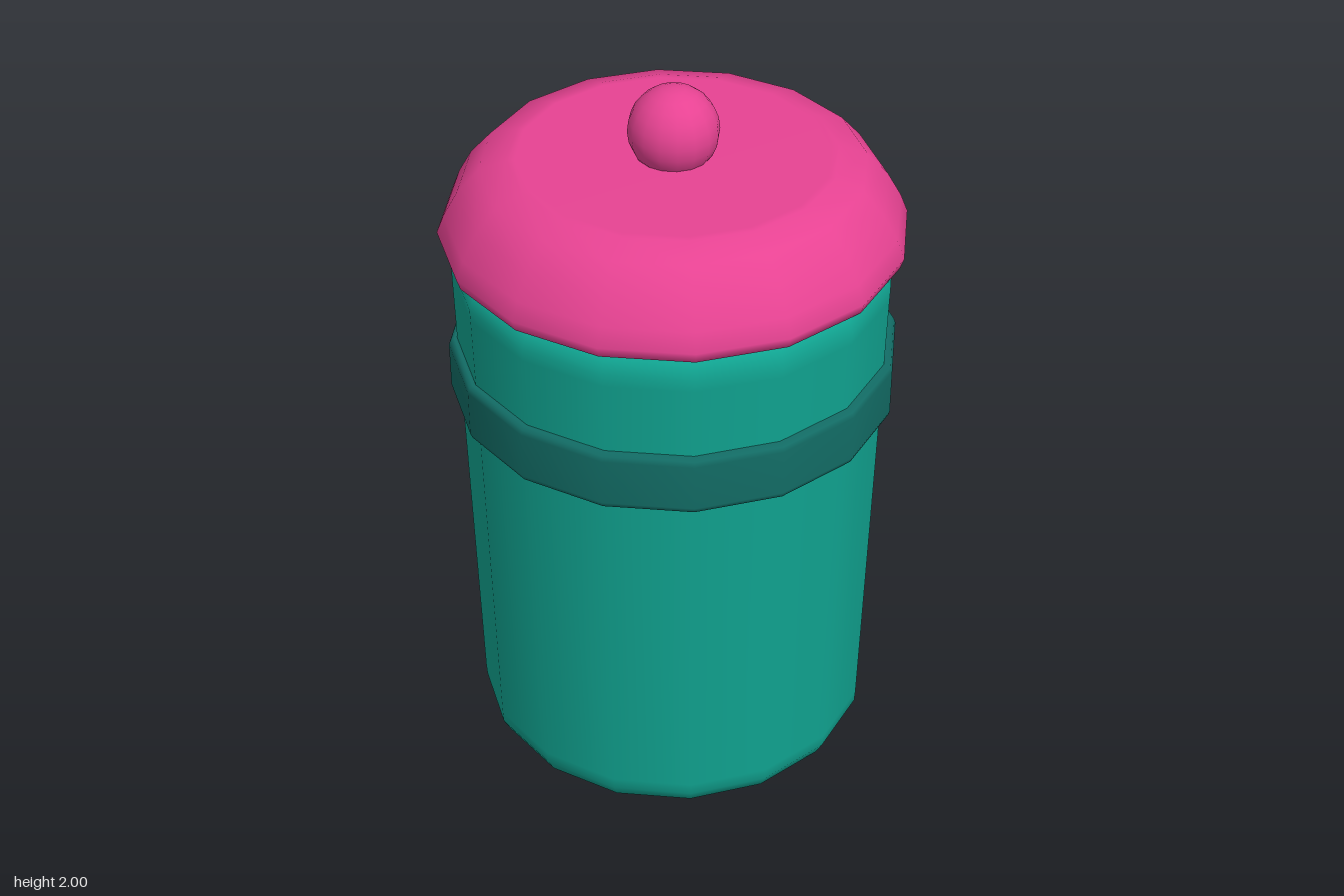
import * as THREE from 'three';

const SIDES = 16;

function material(name, color) {
  const m = new THREE.MeshStandardMaterial({ color });
  m.name = name;
  return m;
}

// Turned part: profile of [radius, y] from bottom to top, outside facing out
function turned(name, profile, mat) {
  const points = profile.map(([r, y]) => new THREE.Vector2(r, y));
  const mesh = new THREE.Mesh(new THREE.LatheGeometry(points, SIDES), mat);
  mesh.name = name;
  return mesh;
}

export function createModel() {
  const teal = material('teal', 0x10a390);
  const darkTeal = material('darkTeal', 0x126c65);
  const pink = material('pink', 0xe84393);
  const jar = new THREE.Group();
  jar.name = 'jar';

  // Tapered body with rounded bottom and shoulder
  jar.add(turned('body', [
    [0, 0], [0.46, 0], [0.485, 0.003], [0.535, 0.025], [0.556, 0.065], [0.558, 0.1],
    [0.588, 1.47], [0.589, 1.505], [0.575, 1.545], [0.53, 1.566], [0.50, 1.57], [0, 1.57],
  ], teal));

  // Raised band around the upper body
  jar.add(turned('band', [
    [0.55, 1.10], [0.592, 1.10], [0.602, 1.106], [0.607, 1.12],
    [0.607, 1.25], [0.602, 1.264], [0.592, 1.27], [0.55, 1.27],
  ], darkTeal));

  // Domed lid with a flat top
  jar.add(turned('lid', [
    [0, 1.57], [0.585, 1.57], [0.61, 1.575], [0.62, 1.605], [0.60, 1.655],
    [0.563, 1.72], [0.505, 1.785], [0.43, 1.81], [0.41, 1.811], [0, 1.811],
  ], pink));

  // Round knob on the lid
  const knob = new THREE.Mesh(new THREE.SphereGeometry(0.12, SIDES, 12), pink);
  knob.name = 'knob';
  knob.position.y = 1.88;
  jar.add(knob);

  return jar;
}
